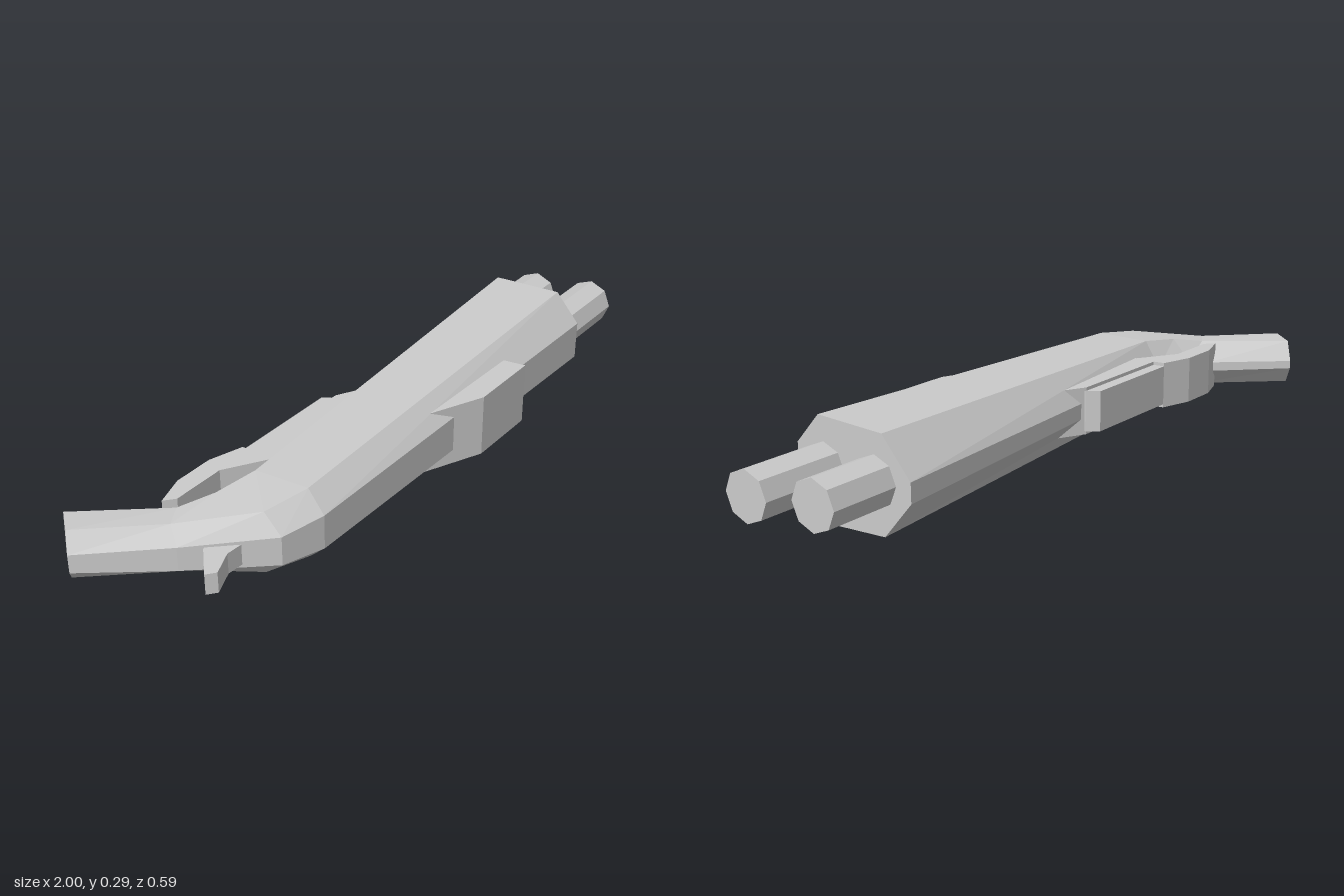
import * as THREE from 'three';

const MID = 0.147; // height of the horizontal symmetry plane
const material = new THREE.MeshStandardMaterial({ color: 0xcccccc, flatShading: true, side: THREE.DoubleSide });

function part(name, geometry) {
  const mesh = new THREE.Mesh(geometry, material);
  mesh.name = name;
  return mesh;
}

// Eight-sided loft; each section lists [x, z, halfHeight] from front to back of its upper half
function loft(sections) {
  const pos = [];
  const rings = sections.map((s) => [
    ...s.map(([x, z, h]) => [x, MID + h, z]),
    ...[...s].reverse().map(([x, z, h]) => [x, MID - h, z]),
  ]);
  const tri = (a, b, c) => pos.push(...a, ...b, ...c);
  const n = rings[0].length;
  for (let i = 0; i < rings.length - 1; i++) {
    for (let j = 0; j < n; j++) {
      const k = (j + 1) % n;
      const a = rings[i][j], b = rings[i][k], c = rings[i + 1][j], d = rings[i + 1][k];
      tri(a, c, d);
      tri(a, d, b);
    }
  }
  const first = rings[0], last = rings[rings.length - 1];
  for (let k = 1; k < n - 1; k++) {
    tri(first[0], first[k], first[k + 1]);
    tri(last[0], last[k + 1], last[k]);
  }
  const g = new THREE.BufferGeometry();
  g.setAttribute('position', new THREE.Float32BufferAttribute(pos, 3));
  g.computeVertexNormals();
  return g;
}

// Vertical slab from a plan outline of [x, z] points
function slab(outline, yMin, yMax) {
  const shape = new THREE.Shape(outline.map(([x, z]) => new THREE.Vector2(x, -z)));
  const g = new THREE.ExtrudeGeometry(shape, { depth: yMax - yMin, bevelEnabled: false });
  g.rotateX(-Math.PI / 2);
  g.translate(0, yMin, 0);
  return g;
}

// Octagonal barrel along x
function barrel(xStart, xEnd, z) {
  const g = new THREE.CylinderGeometry(0.07, 0.07, xEnd - xStart, 8);
  g.rotateZ(-Math.PI / 2);
  g.translate((xStart + xEnd) / 2, 0.153, z);
  return g;
}

export function createModel() {
  const model = new THREE.Group();
  model.name = 'doubleBarrelGun';

  // Tapered body with the bent grip at its -x end
  model.add(part('bodyAndGrip', loft([
    [[-1.0, -0.17, 0.027], [-0.97, -0.2, 0.072], [-0.915, -0.267, 0.067], [-0.88, -0.297, 0.012]],
    [[-0.83, 0.03, 0.035], [-0.8, -0.015, 0.07], [-0.74, -0.05, 0.07], [-0.7, -0.096, 0.014]],
    [[-0.655, 0.215, 0.042], [-0.65, 0.157, 0.092], [-0.65, 0.002, 0.087], [-0.66, -0.053, 0.018]],
    [[-0.53, 0.25, 0.05], [-0.52, 0.193, 0.105], [-0.53, 0.03, 0.1], [-0.53, -0.02, 0.02]],
    [[0.74, 0.262, 0.058], [0.74, 0.185, 0.144], [0.74, -0.03, 0.134], [0.74, -0.12, 0.028]],
  ])));

  // Two barrels of unequal length
  model.add(part('longBarrel', barrel(0.7, 1, 0.17)));
  model.add(part('shortBarrel', barrel(0.7, 0.95, -0.002)));

  // Wedge-shaped block on the front side
  model.add(part('sideBlock', slab(
    [[-0.04, 0.215], [0.14, 0.295], [0.365, 0.295], [0.35, 0.2]], 0.05, 0.236)));

  // Housing on the back, its narrower raised panel, and the guard curving to the grip
  model.add(part('triggerHousing', slab(
    [[-0.43, 0.03], [-0.43, -0.065], [-0.07, -0.065], [0.015, -0.02], [0.015, 0.03]], MID - 0.07, MID + 0.07)));
  model.add(part('triggerPanel', slab(
    [[-0.43, -0.05], [-0.43, -0.1], [-0.09, -0.1], [-0.065, -0.065], [-0.065, -0.05]], MID - 0.06, MID + 0.06)));
  model.add(part('triggerGuard', slab(
    [[-0.74, -0.1], [-0.65, -0.13], [-0.53, -0.13], [-0.43, -0.1], [-0.42, 0.005], [-0.55, -0.075], [-0.71, -0.075]],
    MID - 0.07, MID + 0.07)));

  // Small spur behind the bend
  model.add(part('hammerSpur', slab(
    [[-0.865, 0.15], [-0.84, 0.17], [-0.77, 0.14], [-0.7, 0.145], [-0.74, 0.07], [-0.79, 0.08]],
    MID - 0.03, MID + 0.03)));

  return model;
}
